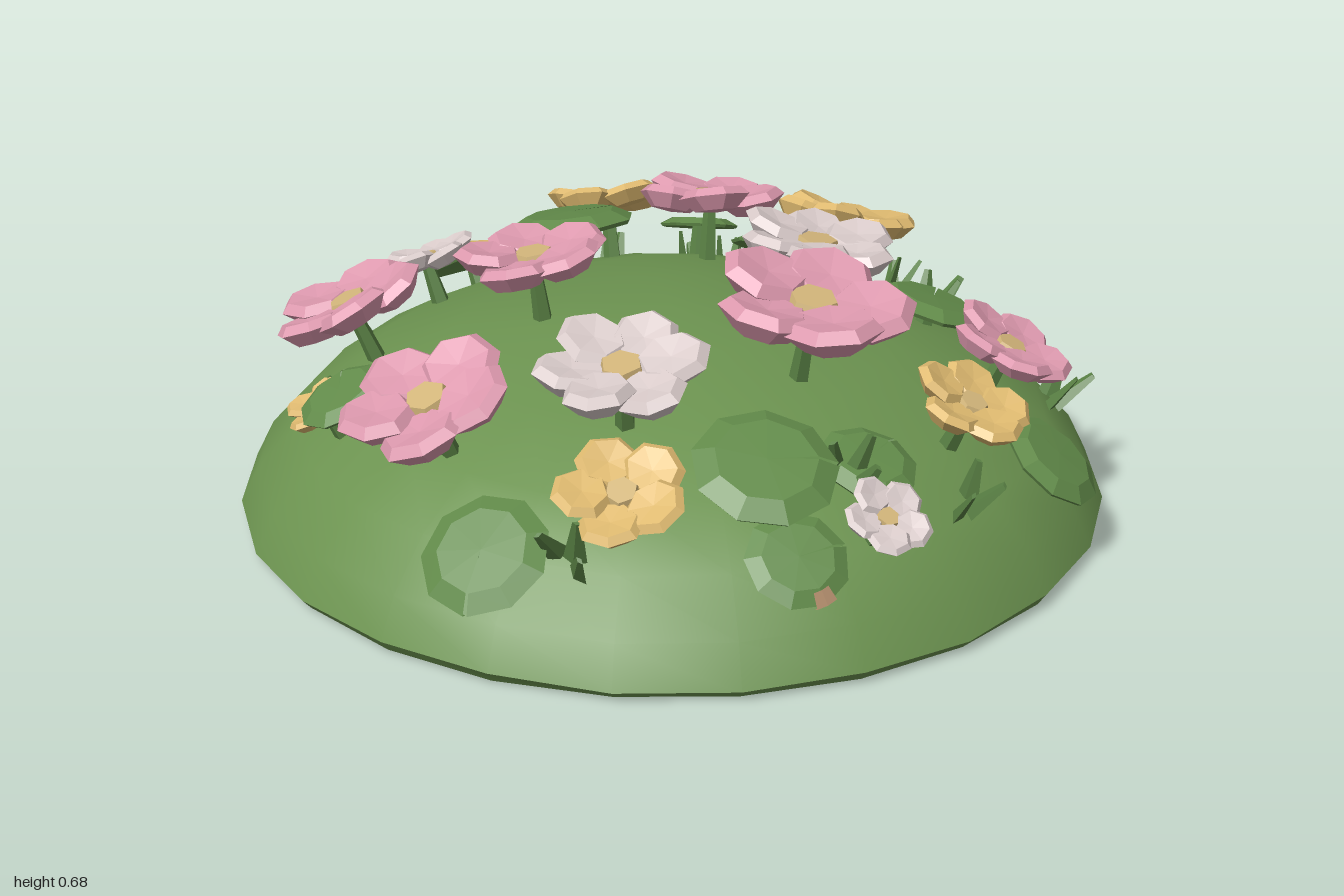
import * as THREE from 'three';
import { toCreasedNormals } from 'three/addons/utils/BufferGeometryUtils.js';

const mat = (name, color, opts = {}) => {
  const m = new THREE.MeshStandardMaterial({ color, ...opts });
  m.name = name;
  return m;
};
const V = (x, y) => new THREE.Vector2(x, y);
const UP = new THREE.Vector3(0, 1, 0);

// Dome height and surface normal at a ground position
const H = 0.45;
const domeY = (x, z) => H * Math.sqrt(Math.max(0, 1 - x * x - z * z));
const domeNormal = (x, z) =>
  new THREE.Vector3(x, Math.max(domeY(x, z), 0.2) / (H * H), z).normalize();

export function createModel() {
  const group = new THREE.Group();
  const flat = { flatShading: true };
  const M = {
    grass: mat('moundGreen', 0x6c9350),
    leaf: mat('leafGreen', 0x628b4a, { ...flat, side: THREE.DoubleSide }),
    stem: mat('stemGreen', 0x587f43, { ...flat, side: THREE.DoubleSide }),
    pink: mat('petalPink', 0xdd99ae, flat),
    white: mat('petalWhite', 0xdacccb, flat),
    yellow: mat('petalYellow', 0xdfba70, flat),
    heart: mat('flowerHeart', 0xd2b57a, flat),
    soil: mat('soilTan', 0xb89270, { ...flat, side: THREE.DoubleSide }),
  };

  const add = (parent, name, geo, material) => {
    const mesh = new THREE.Mesh(geo, material);
    mesh.name = name;
    parent.add(mesh);
    return mesh;
  };

  // Mound: lathed dome with a gently uneven surface
  const SEG = 24;
  const moundGeo = new THREE.LatheGeometry([
    V(0, 0.005), V(0.98, 0.005), V(1, 0.03), V(0.955, 0.118), V(0.86, 0.218),
    V(0.72, 0.305), V(0.5, 0.388), V(0.25, 0.435), V(0, 0.45),
  ], SEG);
  const p = moundGeo.attributes.position;
  for (let i = 0; i < p.count; i++) {
    const x = p.getX(i), y = p.getY(i), z = p.getZ(i);
    if (y < 0.01) continue;
    p.setY(i, y + Math.sin(x * 7 + 1) * Math.cos(z * 6 - 0.5) * 0.008);
  }
  add(group, 'mound', toCreasedNormals(moundGeo, 0.45), M.grass);

  // Bare soil: strip on the rim and patches underneath
  const step = (Math.PI * 2) / SEG;
  add(group, 'rimSoil', new THREE.LatheGeometry([V(0.982, 0.004), V(0.997, 0.022)], 2, 5 * step, 2 * step), M.soil);
  [[0.15, -0.51, 0.025, 0.06], [-0.03, -0.74, 0.025, 0.03], [-0.37, 0.02, 0.05, 0.08]].forEach(([x, z, w, d]) => {
    const patch = add(group, 'undersideSoil', new THREE.CylinderGeometry(1, 1, 0.004, 7), M.soil);
    patch.position.set(x, 0.004, z);
    patch.scale.set(w, 1, d);
  });

  // Shared shapes at unit size
  const petalGeo = new THREE.LatheGeometry(
    [V(0, -0.2), V(0.27, -0.17), V(0.46, 0.02), V(0.36, 0.13), V(0, 0.08)], 7);
  const heartGeo = new THREE.CylinderGeometry(0.24, 0.3, 0.16, 6);
  const leafGeo = new THREE.LatheGeometry(
    [V(0, -0.1), V(0.6, -0.15), V(0.95, -0.2), V(1, -0.13), V(0.7, 0.03), V(0, 0.05)], 9, 0.03, Math.PI * 2 - 0.06);
  const bladeGeo = new THREE.CylinderGeometry(0.01, 0.026, 0.12, 4).translate(0, 0.05, 0).scale(1, 1, 0.5);

  // A tilted holder standing off the mound, with a stem going down into it
  const holder = (name, x, y, z, yaw, stem = true) => {
    const g = new THREE.Group();
    g.name = name;
    g.position.set(x, y, z);
    g.quaternion.setFromUnitVectors(UP, domeNormal(x, z).lerp(UP, 0.12).normalize());
    const spin = new THREE.Group();
    spin.rotation.y = yaw;
    g.add(spin);
    if (stem) {
      const len = y - domeY(x, z) + 0.02;
      add(g, 'stem', new THREE.CylinderGeometry(0.015, 0.024, len, 5), M.stem).position.y = -len / 2 - 0.005;
    }
    group.add(g);
    return spin;
  };

  const flower = (color, x, y, z, r, yaw, petals = 5) => {
    const g = holder(color + 'Flower', x, y, z, yaw);
    g.scale.setScalar(r);
    for (let i = 0; i < petals; i++) {
      const arm = new THREE.Group();
      arm.rotation.y = (i / petals) * Math.PI * 2;
      g.add(arm);
      const petal = add(arm, 'petal', petalGeo, M[color]);
      petal.position.set(0.58, 0.02 + (i % 2) * 0.06, 0);
      petal.rotation.set(0.12, 0, 0.2);
      petal.scale.set(1.02, 1, petals === 5 ? 1.1 : 0.92);
    }
    add(g, 'heart', heartGeo, M.heart).position.y = 0.05;
  };

  // Flowers: colour, x, y, z, radius, turn, petals
  [
    ['pink', -0.43, 0.45, -0.6, 0.18, 0.3],
    ['pink', -0.19, 0.57, -0.25, 0.175, 0.9],
    ['pink', 0.45, 0.54, -0.22, 0.175, 0.1],
    ['pink', -0.73, 0.45, -0.09, 0.19, 1.2],
    ['pink', -0.07, 0.58, 0.43, 0.22, 0.32],
    ['pink', 0.32, 0.42, 0.7, 0.145, 0.2],
    ['white', -0.05, 0.42, -0.71, 0.125, 0.4, 6],
    ['white', -0.48, 0.52, 0.23, 0.185, 0.2, 6],
    ['white', 0.26, 0.57, 0.22, 0.185, 0.6, 6],
    ['white', -0.35, 0.3, 0.81, 0.095, 0.1],
    ['yellow', 0.46, 0.46, -0.55, 0.15, 0.7],
    ['yellow', 0.67, 0.47, 0.03, 0.175, 0.3, 6],
    ['yellow', -0.7, 0.37, 0.4, 0.14, 1.0],
    ['yellow', 0.04, 0.4, 0.77, 0.135, 0.6],
    ['yellow', 0.2, 0.38, -0.69, 0.11, 0.2],
    ['yellow', -0.69, 0.335, -0.44, 0.09, 0.5],
  ].forEach((f) => flower(...f));

  // Round leaves: x, y, z, radius, turn, and the heading of a withered edge if any
  [
    [-0.18, 0.3, -0.85, 0.135, 2.6, 2.3], [0.24, 0.32, -0.83, 0.12, 0.4], [0.2, 0.52, -0.46, 0.155, 1.0],
    [0.52, 0.4, 0.38, 0.135, 2.0], [0.61, 0.3, 0.54, 0.13, 3.6], [-0.48, 0.42, 0.6, 0.155, 0.8],
    [-0.88, 0.25, 0.18, 0.14, 5.0], [0.22, 0.25, 0.89, 0.125, 3.2], [-0.2, 0.34, 0.67, 0.11, 1.6],
    [0.78, 0.32, -0.27, 0.1, 0.2], [-0.7, 0.39, -0.38, 0.105, 2.2], [0.62, 0.4, -0.38, 0.1, 4.0],
    [-0.55, 0.27, 0.73, 0.11, 1.1, -0.3],
  ].forEach(([x, y, z, r, yaw, edge]) => {
    const g = holder('roundLeaf', x, y, z, yaw);
    g.scale.setScalar(r);
    add(g, 'leafBlade', leafGeo, M.leaf);
    if (edge !== undefined) {
      const rim = [V(0.97, -0.2), V(1.02, -0.12), V(0.75, 0.03)];
      add(g, 'witheredEdge', new THREE.LatheGeometry(rim, 2, edge - yaw - 0.22, 0.44), M.soil);
    }
  });

  // Small tufts of broad grass blades: x, z, turn
  [
    [0.74, -0.5, 0.2], [0.85, 0.18, 1.1], [0.86, 0.05, 0.4], [0.57, 0.68, 0.6], [0.58, -0.66, 1.8],
    [-0.09, 0.84, 0.3], [-0.79, 0.33, 1.3], [-0.62, -0.42, 0.7], [0.8, -0.4, 2.1], [-0.27, 0.66, 1.5],
  ].forEach(([x, z, yaw]) => {
    const g = holder('grassTuft', x, domeY(x, z), z, yaw, false);
    for (let i = 0; i < 3; i++) {
      const blade = add(g, 'grassBlade', bladeGeo, M.stem);
      blade.position.set((i - 1) * 0.035, 0, (i % 2) * 0.02);
      blade.rotation.set((i % 2) * 0.25, i * 0.6, (1 - i) * 0.3);
      blade.scale.y = 0.8 + 0.15 * (i % 2);
    }
  });

  return group;
}
